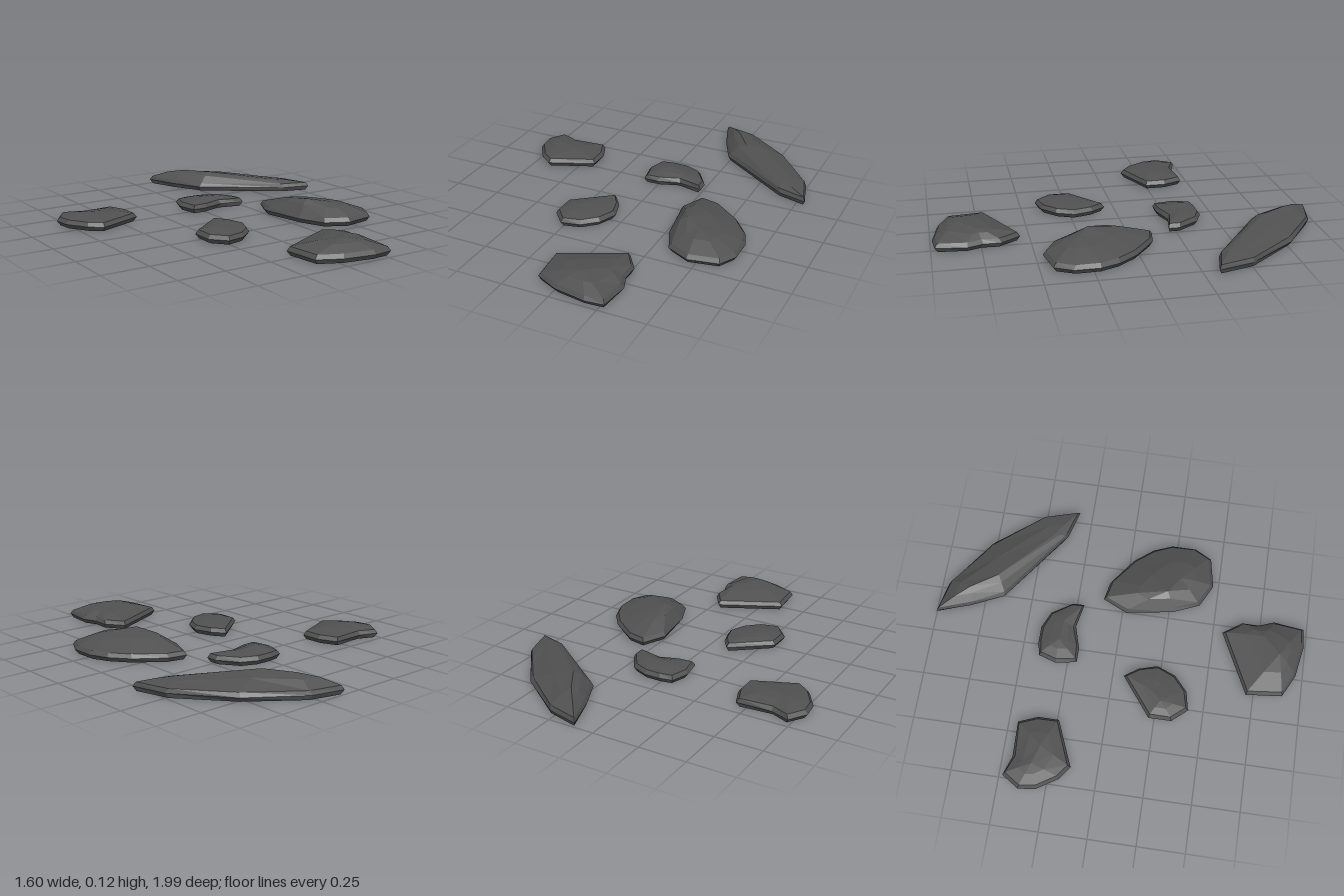
import * as THREE from 'three';

// outline: clockwise [x, z] corners seen from above; crest: [x, y, z] points along the top
function stoneGeometry(outline, crest) {
  const n = outline.length;
  const cx = outline.reduce((s, p) => s + p[0], 0) / n;
  const cz = outline.reduce((s, p) => s + p[1], 0) / n;
  // Outline moved a fixed distance inward, at height y
  const inset = (d, y) => outline.map(([x, z]) => {
    const k = d / Math.hypot(cx - x, cz - z);
    return [x + (cx - x) * k, y, z + (cz - z) * k];
  });
  const shoulder = inset(.016, .045);
  // Crest point nearest to each corner
  const peaks = outline.map(([x, z]) => crest.reduce((best, c) =>
    Math.hypot(c[0] - x, c[2] - z) < Math.hypot(best[0] - x, best[2] - z) ? c : best));
  // Dome ring halfway between the shoulder and the crest, raised to round it off
  const dome = shoulder.map(([x, y, z], i) => {
    const q = peaks[i];
    return [x + (q[0] - x) * .5, y + (q[1] - y) * .68, z + (q[2] - z) * .5];
  });
  const rings = [inset(.018, 0), inset(0, .024), shoulder, dome, peaks];
  const pos = [];
  const tri = (a, b, c) => {
    if (a !== b && b !== c && a !== c) pos.push(...a, ...b, ...c);
  };
  for (let i = 0; i < n; i++) {
    const j = (i + 1) % n;
    for (let r = 0; r < rings.length - 1; r++) {
      const lo = rings[r], hi = rings[r + 1];
      tri(lo[i], hi[i], hi[j]);
      tri(lo[i], hi[j], lo[j]);
    }
    // Flat underside
    tri([cx, 0, cz], rings[0][i], rings[0][j]);
  }
  const geometry = new THREE.BufferGeometry();
  geometry.setAttribute('position', new THREE.Float32BufferAttribute(pos, 3));
  geometry.computeVertexNormals();
  return geometry;
}

export function createModel() {
  const group = new THREE.Group();
  group.name = 'steppingStones';
  const material = new THREE.MeshStandardMaterial({ color: 0x505050, flatShading: true });
  material.name = 'darkStone';
  const addStone = (name, outline, crest) => {
    const mesh = new THREE.Mesh(stoneGeometry(outline, crest), material);
    mesh.name = name;
    group.add(mesh);
  };

  addStone('leftStone',
    [[-.74, -.48], [-.64, -.445], [-.45, -.45], [-.41, -.35], [-.41, -.24], [-.65, -.14], [-.72, -.19], [-.79, -.3], [-.8, -.39]],
    [[-.67, .066, -.34], [-.57, .066, -.31]]);

  addStone('smallCurvedStone',
    [[-.07, -.405], [0, -.42], [.09, -.42], [.18, -.38], [.25, -.27], [.25, -.21], [.12, -.235], [0, -.2], [-.08, -.2], [-.1, -.31]],
    [[.02, .064, -.31], [.13, .06, -.3]]);

  addStone('longBackStone',
    [[.1, -1], [.27, -.96], [.54, -.77], [.75, -.5], [.8, -.32], [.65, -.36], [.24, -.65], [.16, -.82]],
    [[.24, .096, -.83], [.33, .1, -.69], [.62, .066, -.44]]);

  addStone('largeRightStone',
    [[.3, -.11], [.4, -.09], [.55, .02], [.63, .12], [.67, .22], [.67, .35], [.62, .44], [.46, .47], [.34, .41], [.28, .27], [.24, .02]],
    [[.36, .115, .23], [.45, .102, .29]]);

  addStone('smallRoundStone',
    [[-.12, .06], [-.07, .13], [-.04, .23], [-.08, .33], [-.16, .4], [-.26, .42], [-.33, .34], [-.33, .22]],
    [[-.19, .058, .22], [-.24, .062, .27]]);

  addStone('frontStone',
    [[.2, .55], [.27, .65], [.27, .74], [.3, .82], [.28, .98], [.18, .99], [.01, .96], [-.11, .9], [-.13, .71]],
    [[.1, .09, .86], [.19, .08, .77]]);

  return group;
}
